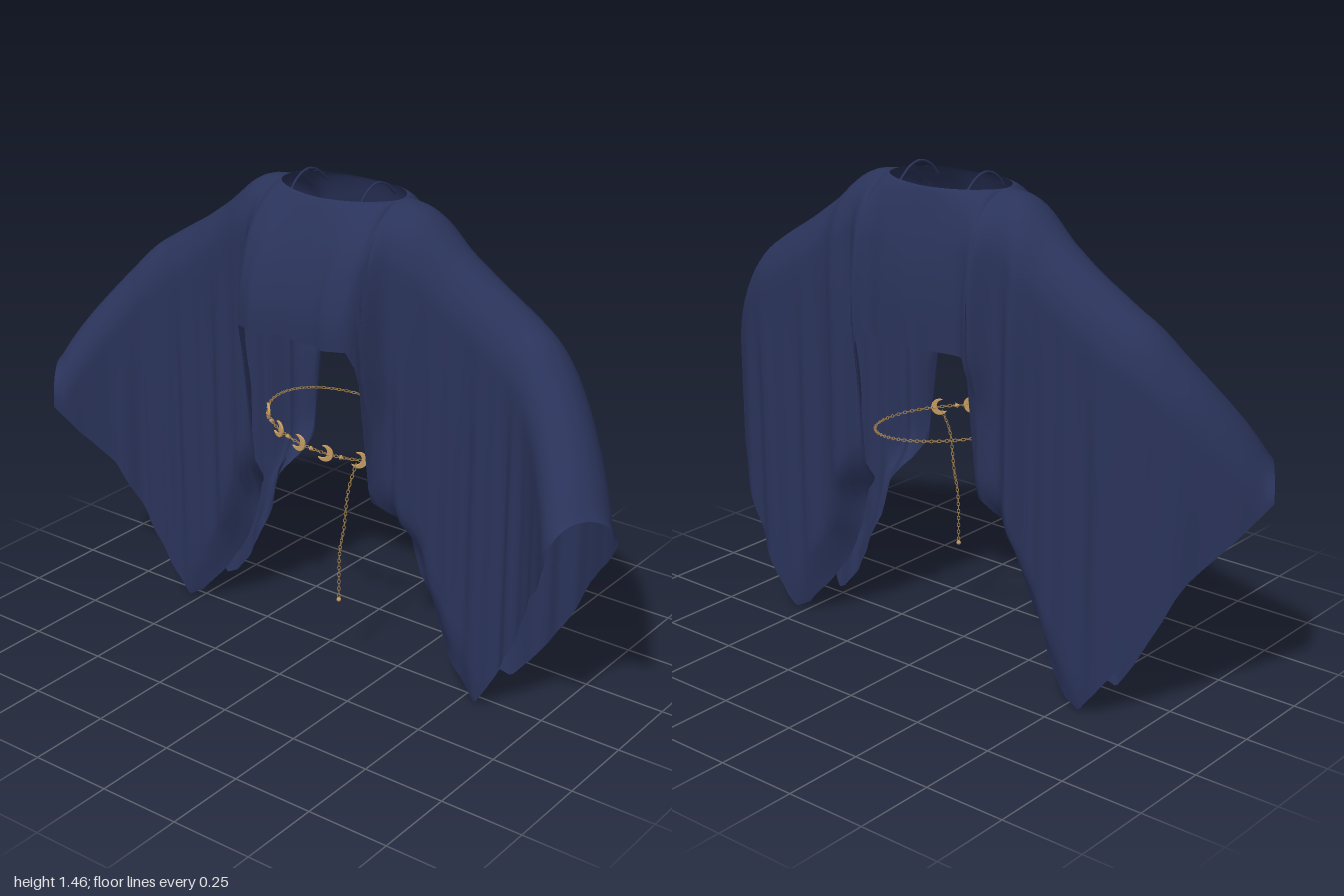
import * as THREE from 'three';
import { mergeVertices, mergeGeometries } from 'three/addons/utils/BufferGeometryUtils.js';

const mat = (name, color, side = THREE.FrontSide) => {
  const m = new THREE.MeshStandardMaterial({ color, side });
  m.name = name;
  return m;
};

const clamp01 = (v) => Math.min(1, Math.max(0, v));
const smooth = (a, b, v) => { const t = clamp01((v - a) / (b - a)); return t * t * (3 - 2 * t); };

// piecewise linear lookup over [u, value] pairs
function lookup(table, u) {
  if (u <= table[0][0]) return table[0][1];
  for (let i = 1; i < table.length; i++) {
    const [a, va] = table[i - 1], [b, vb] = table[i];
    if (u <= b) return va + (vb - va) * (u - a) / (b - a);
  }
  return table[table.length - 1][1];
}
// the same with rounded corners
const soft = (table, u, r = 0.02) =>
  [-1, -0.5, 0, 0.5, 1].reduce((s, k) => s + lookup(table, Math.abs(u + k * r)), 0) / 5;

// cloth rules, all by distance u from the middle of the body
const RIDGE = [[0, 1.425], [0.2, 1.43], [0.28, 1.42], [0.34, 1.375], [0.38, 1.335], [0.5, 1.25],
  [0.6, 1.19], [0.7, 1.125], [0.8, 1.0], [0.88, 0.88], [0.92, 0.8], [0.96, 0.7]];
const CENTRE = [[0, -0.055], [0.3, -0.06], [0.5, -0.07], [0.65, -0.06], [0.75, -0.02], [0.85, 0.065], [0.94, 0.165], [0.98, 0.21]];
const TILT = [[0, 0], [0.55, 0], [0.94, 0.62]];
const DEPTH = [[0, 0.125], [0.2, 0.13], [0.3, 0.118], [0.4, 0.105], [0.94, 0.105]];
const TAIL = [[0.212, 0.57], [0.23, 0.52], [0.28, 0.45], [0.31, 0.33], [0.37, 0.2], [0.43, 0.11], [0.5, 0.03], [0.545, 0.005], [0.6, 0.08], [0.7, 0.24]];
// inner sleeve edge by height
const INNER = [[0.03, 0.5], [0.11, 0.43], [0.2, 0.37], [0.33, 0.31], [0.45, 0.28], [0.52, 0.23], [0.57, 0.212]];
const SIDES = {
  front: {
    sign: 1,
    hem: [[0, 1.05], [0.19, 1.05], [0.204, 1.0], [0.208, 0.93], ...TAIL, [0.8, 0.44], [0.88, 0.54], [0.94, 0.64]],
    bulge: [[0, 0.12], [0.09, 0.125], [0.125, 0.145], [0.16, 0.125], [0.19, 0.12], [0.215, 0.07], [0.24, 0.015], [0.28, 0.005], [0.35, 0]],
    fold: (x) => 0.5 * Math.sin(x * 47 + 0.6) + 0.4 * Math.sin(x * 83 + 2),
  },
  back: {
    sign: -1,
    hem: [[0, 0.985], [0.19, 0.985], [0.205, 0.94], [0.208, 0.9], ...TAIL, [0.8, 0.45], [0.88, 0.57], [0.94, 0.67]],
    bulge: [[0, 0.06], [0.1, 0.055], [0.16, 0.035], [0.185, 0.045], [0.21, 0.068], [0.235, 0.03], [0.26, 0.005], [0.29, 0.008], [0.33, 0.035], [0.37, 0.01], [0.45, 0]],
    fold: (x) => 0.5 * Math.sin(x * 41 + 1.7) + 0.4 * Math.sin(x * 71),
  },
};

// columns from one sleeve end to the other, closer together at the body edge
function columns() {
  const half = [];
  for (let i = 1; i <= 14; i++) half.push(0.2 * Math.sin(i / 14 * Math.PI / 2));
  half.push(0.204, 0.208, 0.212);
  for (let u = 0.22; u < 0.945; u += 0.01) half.push(u);
  return [...half.map((u) => -u).reverse(), 0, ...half];
}

function clothPoint(x, t, side) {
  const u = Math.abs(x);
  const ridge = soft(RIDGE, u, 0.03);
  const length = ridge - lookup(side.hem, u);
  const drop = length * Math.pow(t, 1.7), y = ridge - drop;
  // round over the shoulder from the neck opening or the ridge
  const start = 0.117 * Math.sqrt(Math.max(0, 1 - (u / 0.2) ** 2));
  const q = clamp01(drop / Math.min(length, 0.16));
  let d = start + (soft(DEPTH, u) - start) * Math.sqrt(1 - (1 - q) ** 2);
  d += soft(side.bulge, u, 0.012) * Math.sin(clamp01(drop / 0.36) * Math.PI / 2);
  // a narrow band along the inner sleeve edge rolls inwards
  const band = smooth(0.085, 0, u - lookup(INNER, y)) * smooth(0.2, 0.24, u + 0.03);
  d *= 1 - band * (0.2 * smooth(1.0, 0.8, y) + 0.5 * smooth(0.62, 0.42, y) * smooth(0.02, 0.25, y));
  // vertical pleats grow below the shoulder and fade along the sleeve
  const strength = 0.004 + 0.009 * smooth(0.2, 0.26, u) * smooth(0.94, 0.6, u);
  d += side.fold(x) * strength * smooth(0.08, 0.5, drop) * (1 - 0.5 * smooth(0.8, 1.2, drop));
  const a = soft(TILT, u, 0.04);
  const px = u - side.sign * Math.sin(a) * d;
  return [Math.sign(x) * px, y, soft(CENTRE, u, 0.04) + side.sign * Math.cos(a) * d];
}

function clothSheet(side) {
  const cols = columns(), rows = 32, pos = [], index = [];
  for (const x of cols) for (let j = 0; j <= rows; j++) pos.push(...clothPoint(x, j / rows, side));
  for (let i = 0; i < cols.length - 1; i++) {
    for (let j = 0; j < rows; j++) {
      const a = i * (rows + 1) + j, b = a + 1, c = a + rows + 1, d = c + 1;
      if (side.sign > 0) index.push(a, b, c, c, b, d);
      else index.push(a, c, b, c, d, b);
    }
  }
  const g = new THREE.BufferGeometry();
  g.setAttribute('position', new THREE.Float32BufferAttribute(pos, 3));
  g.setIndex(index);
  return g;
}

// small interlocking rings along a curve
function chain(curve, pitch) {
  const n = Math.round(curve.getLength() / pitch);
  const links = [], dummy = new THREE.Object3D();
  for (let i = 0; i < n; i++) {
    const t = (i + 0.5) / n;
    const p = curve.getPointAt(t);
    dummy.position.copy(p);
    dummy.up.set(0.3, 0.8, 0.5);
    dummy.lookAt(p.clone().add(curve.getTangentAt(t)));
    dummy.rotateZ(i % 2 ? Math.PI / 2 : 0);
    dummy.rotateY(Math.PI / 2);
    dummy.scale.set(1.5, 1, 1);
    dummy.updateMatrix();
    links.push(new THREE.TorusGeometry(0.0042, 0.0014, 5, 8).applyMatrix4(dummy.matrix));
  }
  return mergeGeometries(links);
}

function crescentGeometry() {
  const s = new THREE.Shape();
  s.absarc(0, 0, 0.024, 2.2, -2.2, true);
  s.absarc(-0.011, 0, 0.0195, -1.75, 1.75, false);
  const g = new THREE.ExtrudeGeometry(s, { depth: 0.005, bevelEnabled: true, bevelSize: 0.001, bevelThickness: 0.001, bevelSegments: 1, curveSegments: 16 });
  g.translate(0, 0, -0.0025);
  return g;
}

export function createModel() {
  const model = new THREE.Group();
  const navy = mat('navy cloth', 0x2a335a, THREE.DoubleSide);
  const gold = mat('gold', 0xc39a60);
  const brass = mat('chain brass', 0xa07e4a);
  const add = (name, geometry, material, parent = model) => {
    const m = new THREE.Mesh(geometry, material);
    m.name = name;
    parent.add(m);
    return m;
  };

  // draped shawl: front and back sheets joined along shoulders and arms
  const cloth = mergeVertices(mergeGeometries([clothSheet(SIDES.front), clothSheet(SIDES.back)]), 1e-5);
  cloth.computeVertexNormals();
  add('drapedShawl', cloth, navy);

  // thin loops over the neck opening
  for (const x of [-0.12, 0.12]) {
    const arc = new THREE.CatmullRomCurve3([[0.03, 1.41], [0.0, 1.442], [-0.045, 1.46], [-0.09, 1.45], [-0.14, 1.41]]
      .map(([z, y]) => new THREE.Vector3(x, y, z)));
    add('neckStrap', new THREE.TubeGeometry(arc, 20, 0.0035, 6), navy);
  }

  // tilted waist chain
  const belt = new THREE.Group();
  belt.name = 'waistChain';
  model.add(belt);
  const beltPoint = (a) => {
    const x = 0.235 * Math.sin(a);
    return new THREE.Vector3(x, 0.71 - 0.15 * x, -0.06 + 0.195 * Math.cos(a));
  };
  const ring = [];
  for (let i = 0; i < 24; i++) ring.push(beltPoint(i / 24 * Math.PI * 2));
  add('beltLinks', chain(new THREE.CatmullRomCurve3(ring, true), 0.0115), brass, belt);

  // crescents with small studs between them
  const moon = crescentGeometry(), stud = new THREE.OctahedronGeometry(0.009);
  for (let i = 0; i < 9; i++) {
    const a = Math.asin((-0.19 + i * 0.044) / 0.235);
    const m = add(i % 2 ? 'beltStud' : 'beltCrescent', i % 2 ? stud : moon, gold, belt);
    m.position.copy(beltPoint(a));
    m.rotation.set(0, a * 0.8, -0.35);
  }

  // hanging chain end
  const tail = new THREE.CatmullRomCurve3([[0.155, 0.675, 0.085], [0.15, 0.6, 0.115], [0.14, 0.48, 0.122], [0.125, 0.4, 0.122], [0.122, 0.25, 0.122]]
    .map((p) => new THREE.Vector3(...p)));
  add('hangingChain', chain(tail, 0.0115), brass, belt);
  add('chainDrop', new THREE.SphereGeometry(0.007, 10, 8), gold, belt).position.set(0.122, 0.243, 0.122);

  return model;
}
